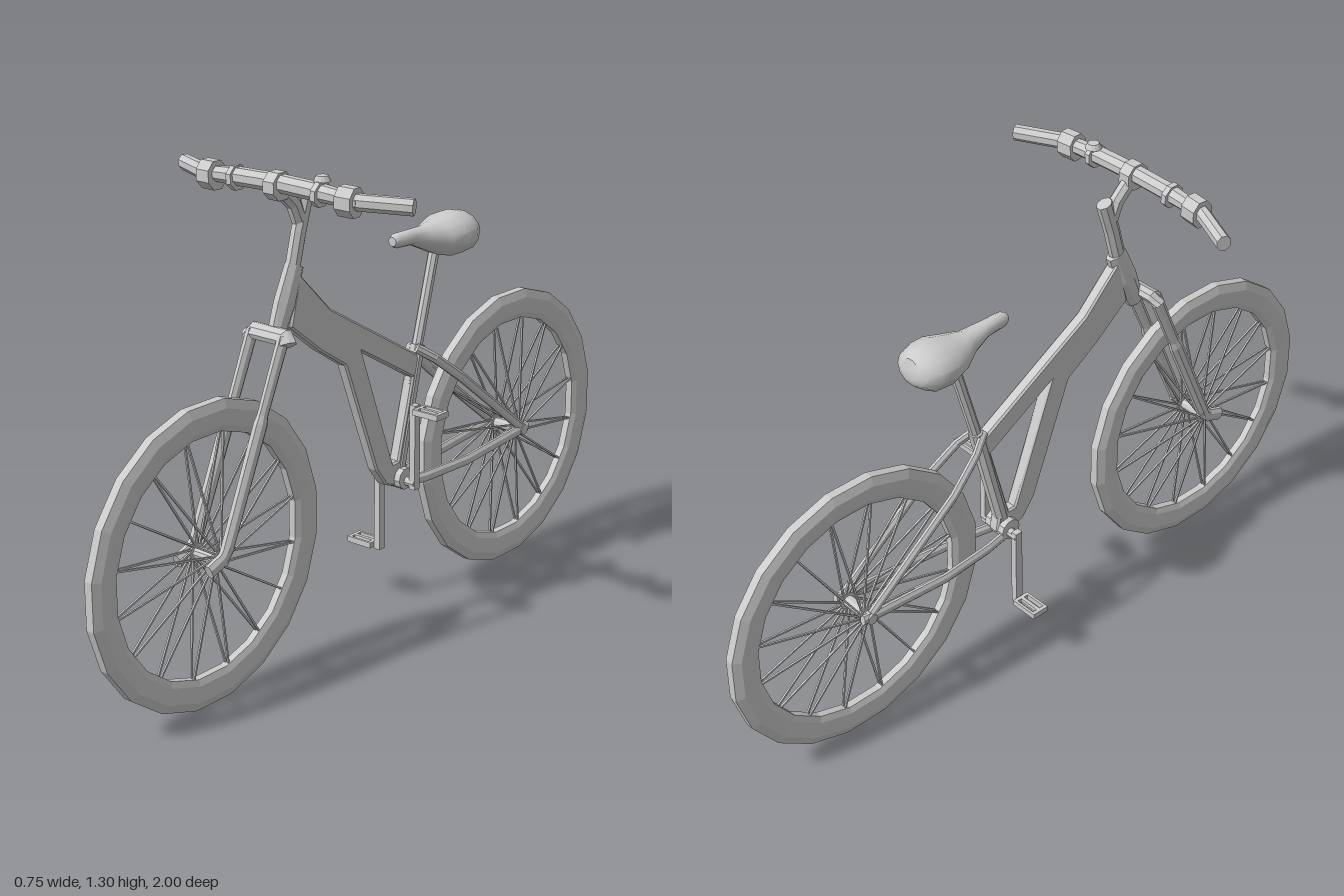
import * as THREE from 'three';
import { toCreasedNormals } from 'three/addons/utils/BufferGeometryUtils.js';

const flat = new THREE.MeshStandardMaterial({ color: 0xcccccc, flatShading: true });
const smooth = new THREE.MeshStandardMaterial({ color: 0xcccccc });

// Capped bar along points [x, y, z, halfWidth, halfDepth]; the width runs along ref.
function barGeometry(pts, a, b, ref = [1, 0, 0], sides = 8) {
  const P = pts.map(p => new THREE.Vector3(p[0], p[1], p[2]));
  const R = new THREE.Vector3(...ref), pos = [], idx = [];
  const k = 1 / Math.cos(Math.PI / sides), last = P.length - 1;
  P.forEach((p, i) => {
    const t = P[Math.min(i + 1, last)].clone().sub(P[Math.max(i - 1, 0)]).normalize();
    const u = R.clone().addScaledVector(t, -R.dot(t)).normalize();
    const v = t.clone().cross(u);
    for (let j = 0; j < sides; j++) {
      const ang = (j + 0.5) / sides * Math.PI * 2;
      const q = p.clone().addScaledVector(u, Math.cos(ang) * k * (pts[i][3] ?? a))
        .addScaledVector(v, Math.sin(ang) * k * (pts[i][4] ?? b));
      pos.push(q.x, q.y, q.z);
    }
  });
  for (let i = 0; i < last; i++) for (let j = 0; j < sides; j++) {
    const n = (j + 1) % sides, o = i * sides, e = o + sides;
    idx.push(o + j, o + n, e + j, o + n, e + n, e + j);
  }
  for (let j = 1; j < sides - 1; j++) {
    const e = last * sides;
    idx.push(0, j + 1, j, e, e + j, e + j + 1);
  }
  const g = new THREE.BufferGeometry();
  g.setAttribute('position', new THREE.Float32BufferAttribute(pos, 3));
  g.setIndex(idx);
  g.computeVertexNormals();
  return g;
}

function add(parent, name, geometry, material = flat) {
  const mesh = new THREE.Mesh(geometry, material);
  mesh.name = name;
  parent.add(mesh);
  return mesh;
}
const bar = (parent, name, ...args) => add(parent, name, barGeometry(...args));
const mirrorX = (pts, s) => pts.map(([x, ...rest]) => [x * s, ...rest]);

function axleCylinder(parent, name, r, length, x, y, z) {
  const m = add(parent, name, new THREE.CylinderGeometry(r, r, length, 10).rotateZ(Math.PI / 2));
  m.position.set(x, y, z);
  return m;
}

function wheel(name, z) {
  const g = new THREE.Group();
  g.name = name;
  g.position.set(0, 0.39, z);
  // Closed tyre and rim section, turned about the axle
  const section = [[0.314, -0.01], [0.33, -0.017], [0.372, -0.021], [0.395, -0.012], [0.395, 0.012],
    [0.372, 0.021], [0.33, 0.017], [0.314, 0.01], [0.314, -0.01]].map(p => new THREE.Vector2(...p));
  add(g, 'tyreAndRim', new THREE.LatheGeometry(section, 20, Math.PI / 20).rotateZ(Math.PI / 2));
  axleCylinder(g, 'hub', 0.016, 0.085, 0, 0, 0);
  for (const s of [-1, 1]) {
    axleCylinder(g, 'hubFlange', 0.024, 0.008, s * 0.036, 0, 0);
    for (let i = 0; i < 16; i++) {
      const t = (i + 0.5) / 16 * Math.PI * 2, h = t + 0.5;
      bar(g, 'spoke', [[s * 0.036, 0.018 * Math.sin(h), 0.018 * Math.cos(h)],
        [s * 0.004, 0.32 * Math.sin(t), 0.32 * Math.cos(t)]], 0.0025, 0.0025, [1, 0, 0], 4);
    }
  }
  return g;
}

function crank(s) {
  const g = new THREE.Group();
  g.name = s > 0 ? 'leftCrank' : 'rightCrank';
  const z = -0.12, y0 = 0.375, y = y0 + s * 0.208;
  bar(g, 'crankArm', [[s * 0.06, y0 - s * 0.016, z], [s * 0.06, y + s * 0.012, z]], 0.009, 0.011, [1, 0, 0], 4);
  axleCylinder(g, 'pedalAxle', 0.006, 0.09, s * 0.1, y, z);
  // Pedal cage with two windows
  const shape = new THREE.Shape([[0, -0.025], [0.08, -0.025], [0.08, 0.025], [0, 0.025]].map(p => new THREE.Vector2(...p)));
  for (const w of [-0.018, 0.005]) {
    shape.holes.push(new THREE.Path([[0.01, w], [0.01, w + 0.013], [0.07, w + 0.013], [0.07, w]].map(p => new THREE.Vector2(...p))));
  }
  const cage = add(g, 'pedal', new THREE.ExtrudeGeometry(shape, { depth: 0.016, bevelEnabled: false })
    .translate(0, 0, -0.008).rotateX(Math.PI / 2));
  cage.position.set(s > 0 ? 0.072 : -0.152, y, z);
  return g;
}

export function createModel() {
  const bike = new THREE.Group();
  bike.name = 'bicycle';
  bike.add(wheel('frontWheel', 0.611), wheel('rearWheel', -0.611));

  // Frame plate: drawn as (-z, y), extruded across x
  const pt = ([z, y]) => new THREE.Vector2(-z, y);
  const outline = new THREE.Shape([[0.315, 0.9], [0.205, 0.813], [0.108, 0.75], [-0.015, 0.43], [-0.055, 0.377],
    [-0.115, 0.355], [-0.15, 0.38], [-0.14, 0.43], [-0.2, 0.66], [-0.185, 0.71], [0.163, 0.914], [0.28, 1.03]].map(pt));
  outline.holes.push(new THREE.Path([[0.045, 0.775], [-0.165, 0.65], [-0.106, 0.43], [-0.085, 0.43]].map(pt)));
  add(bike, 'frame', new THREE.ExtrudeGeometry(outline, { depth: 0.024, bevelThickness: 0.005, bevelSize: 0.005,
    bevelOffset: -0.005, bevelSegments: 1 }).translate(0, 0, -0.012).rotateY(Math.PI / 2));
  bar(bike, 'seatTube', [[0, 0.39, -0.118], [0, 0.73, -0.203]], 0.02, 0.018);
  axleCylinder(bike, 'bottomBracket', 0.03, 0.07, 0, 0.382, -0.117);
  axleCylinder(bike, 'crankAxle', 0.013, 0.13, 0, 0.375, -0.12);

  // Head tube, steerer and stem
  bar(bike, 'headTube', [[0, 1.05, 0.282, 0.018, 0.028], [0, 0.96, 0.318, 0.02, 0.034],
    [0, 0.875, 0.358, 0.018, 0.024]], 0.018, 0.03);
  bar(bike, 'steerer', [[0, 1.215, 0.237], [0, 1.13, 0.265], [0, 1.03, 0.292]], 0.017, 0.021);
  bar(bike, 'stem', [[0, 1.16, 0.262], [0, 1.205, 0.282], [0, 1.255, 0.335]], 0.017, 0.02);

  // Fork, rear stays, cranks
  bar(bike, 'forkCrown', [[-0.064, 0.88, 0.383], [-0.052, 0.897, 0.377], [0.052, 0.897, 0.377],
    [0.064, 0.88, 0.383]], 0.017, 0.024, [0, 1, 0.4]);
  for (const s of [-1, 1]) {
    bar(bike, 'forkLeg', mirrorX([[0.051, 0.9, 0.38, 0.012, 0.018], [0.051, 0.72, 0.46, 0.011, 0.016],
      [0.052, 0.7, 0.469, 0.014, 0.02], [0.052, 0.41, 0.597, 0.014, 0.018]], s), 0.013, 0.018);
    bar(bike, 'forkDropout', mirrorX([[0.053, 0.425, 0.585], [0.053, 0.395, 0.612], [0.053, 0.377, 0.66]], s), 0.012, 0.018);
    axleCylinder(bike, 'frontAxle', 0.012, 0.035, s * 0.045, 0.39, 0.611);
    bar(bike, 'chainStay', mirrorX([[0.02, 0.365, -0.11], [0.037, 0.366, -0.2], [0.052, 0.37, -0.36],
      [0.054, 0.388, -0.57], [0.054, 0.394, -0.635]], s), 0.009, 0.014);
    bar(bike, 'seatStay', mirrorX([[0.012, 0.725, -0.185], [0.036, 0.69, -0.235], [0.053, 0.62, -0.325],
      [0.054, 0.4, -0.605]], s), 0.009, 0.013);
    axleCylinder(bike, 'rearAxle', 0.015, 0.035, s * 0.048, 0.39, -0.611);
    bike.add(crank(s));
  }

  // Seat post and saddle
  bar(bike, 'seatPost', [[0, 0.7, -0.195], [0, 0.99, -0.277]], 0.014, 0.014);
  const saddle = [[0, 1.03, -0.097, 0.012, 0.012], [0, 1.03, -0.11, 0.019, 0.019], [0, 1.028, -0.17, 0.022, 0.02],
    [0, 1.016, -0.225, 0.034, 0.031], [0, 1.008, -0.275, 0.061, 0.046], [0, 1.007, -0.32, 0.075, 0.057],
    [0, 1.009, -0.365, 0.073, 0.056], [0, 1.02, -0.395, 0.056, 0.042], [0, 1.023, -0.408, 0.032, 0.026]];
  add(bike, 'saddle', toCreasedNormals(barGeometry(saddle, 0.07, 0.05, [1, 0, 0], 12), 0.7), smooth);

  // Handlebar with swept ends, grips and clamps
  const up = [0, 1, 0];
  bar(bike, 'handlebar', [[-0.25, 1.254, 0.333, 0.017, 0.017], [-0.12, 1.262, 0.338], [0, 1.265, 0.338],
    [0.12, 1.262, 0.338], [0.25, 1.254, 0.333, 0.017, 0.017]], 0.022, 0.022, up);
  bar(bike, 'stemClamp', [[-0.017, 1.258, 0.338], [0.017, 1.258, 0.338]], 0.034, 0.034, up);
  for (const s of [-1, 1]) {
    bar(bike, 'grip', mirrorX([[0.23, 1.255, 0.336], [0.255, 1.254, 0.328], [0.368, 1.251, 0.276]], s), 0.02, 0.018, up);
    bar(bike, 'brakeClamp', mirrorX([[0.198, 1.253, 0.337], [0.243, 1.252, 0.333]], s), 0.036, 0.03, up);
    bar(bike, 'barRing', mirrorX([[0.127, 1.258, 0.337], [0.142, 1.257, 0.337]], s), 0.03, 0.03, up);
  }
  // Bell
  const bell = add(bike, 'bell', new THREE.CylinderGeometry(0.015, 0.022, 0.014, 12));
  bell.position.set(0.13, 1.293, 0.325);
  const post = add(bike, 'bellPost', new THREE.CylinderGeometry(0.008, 0.008, 0.03, 8));
  post.position.set(0.13, 1.275, 0.327);
  return bike;
}
